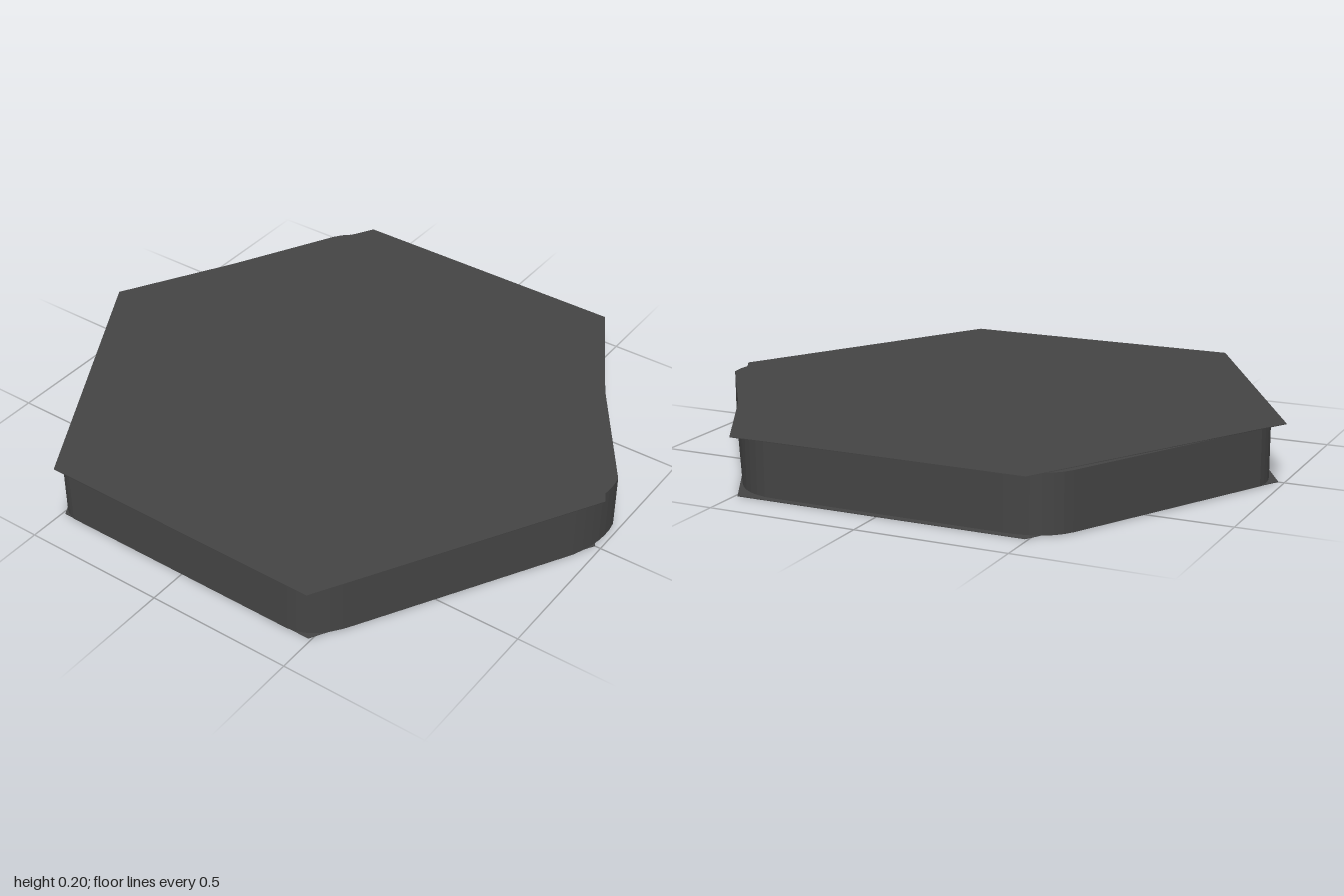
import * as THREE from 'three';

const HEIGHT = 0.195;

export function createModel() {
  const group = new THREE.Group();
  const material = new THREE.MeshStandardMaterial({ color: 0x444444, side: THREE.DoubleSide });
  const add = (name, geometry, y) => {
    const mesh = new THREE.Mesh(geometry, material);
    mesh.name = name;
    mesh.position.y = y;
    group.add(mesh);
    return mesh;
  };

  // Thin hexagonal sheets with points on the x axis
  const sheet = (scale) => new THREE.CylinderGeometry(1, 1, 0.002, 6, 1, false, Math.PI / 2)
    .scale(scale, 1, scale * 1.02);
  add('topPlate', sheet(1), HEIGHT - 0.001);
  add('bottomPlate', sheet(0.98), 0.001);

  // Slightly skewed body between the sheets: each corner is start, control, end in (x, z)
  const corners = [
    [0.415, 0.87, 0.51, 0.86, 0.575, 0.735],
    [0.945, 0.08, 0.995, -0.03, 0.975, -0.125],
    [0.546, -0.75, 0.48, -0.845, 0.37, -0.845],
    [-0.41, -0.845, -0.545, -0.845, -0.595, -0.755],
    [-0.945, -0.08, -0.965, 0, -0.91, 0.1],
    [-0.53, 0.8, -0.5, 0.86, -0.45, 0.87],
  ];
  const outline = new THREE.Shape();
  corners.forEach(([ax, az, cx, cz, bx, bz], i) => {
    if (i === 0) outline.moveTo(ax, az);
    else outline.lineTo(ax, az);
    outline.quadraticCurveTo(cx, cz, bx, bz);
  });
  outline.closePath();
  const body = new THREE.ExtrudeGeometry(outline, {
    depth: HEIGHT - 0.006, bevelEnabled: false, curveSegments: 6,
  }).rotateX(Math.PI / 2);
  add('body', body, HEIGHT - 0.003);

  // Flush triangular inlay on the top sheet
  const triangle = new THREE.Shape([
    new THREE.Vector2(0, 0), new THREE.Vector2(0.23, 0.43), new THREE.Vector2(-0.23, 0.43),
  ]);
  add('topInlay', new THREE.ShapeGeometry(triangle).rotateX(-Math.PI / 2), HEIGHT + 0.0005);

  return group;
}
